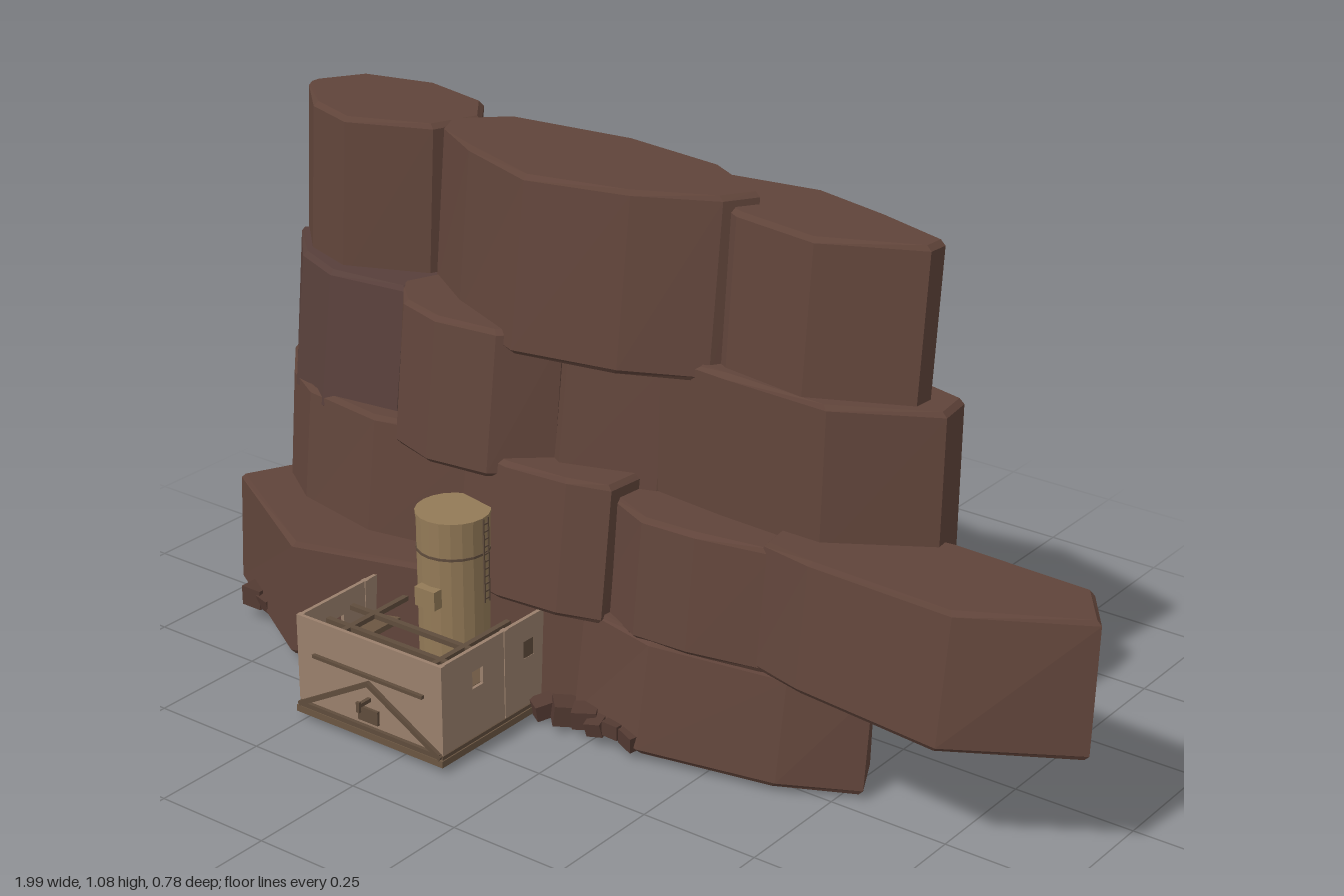
import * as THREE from 'three';

const mat = (color, extra = {}) => new THREE.MeshStandardMaterial({ color, flatShading: true, ...extra });
const ROCK = mat(0x60443a), DUSKY = mat(0x573f3a), RUBBLE = mat(0x533a32);
const WALL = mat(0x9a806c, { side: THREE.DoubleSide });
const WOOD = mat(0x5f4c3c), FLOOR = mat(0x6b5642), SILO = mat(0x937a57), BRASS = mat(0x8a6a3a);

// Bevelled rock prism from a top outline of [x, z]; the foot leans forward and widens
function rock(name, outline, y0, y1, { lean = 0.03, widen = 1.06, tilt = 0, foot = 0, material = ROCK } = {}) {
  let pts = outline.map(p => new THREE.Vector2(p[0], p[1]));
  if (THREE.ShapeUtils.area(pts) > 0) pts = pts.reverse();
  const n = pts.length, bevel = 0.01;
  const c = pts.reduce((s, p) => s.add(p), new THREE.Vector2()).divideScalar(n);
  const pos = [], idx = [];
  const ring = (y, inset, shift, slope, scale) => {
    for (const p of pts) {
      const d = p.clone().sub(c), k = 1 - inset / d.length();
      const x = c.x + d.x * k;
      pos.push(x, y + slope * (x - c.x), c.y + d.y * k * scale + shift);
    }
  };
  ring(y0, bevel, lean, foot, widen);
  ring(y0 + bevel, 0, lean, foot, widen);
  ring(y1 - bevel, 0, 0, tilt, 1);
  ring(y1, bevel, 0, tilt, 1);
  for (let r = 0; r < 3; r++) for (let i = 0; i < n; i++) {
    const a = r * n + i, b = r * n + (i + 1) % n;
    idx.push(a, b, b + n, a, b + n, a + n);
  }
  pos.push(c.x, y0, c.y + lean, c.x, y1, c.y);
  for (let i = 0; i < n; i++) {
    const j = (i + 1) % n;
    idx.push(4 * n, j, i, 4 * n + 1, 3 * n + i, 3 * n + j);
  }
  const g = new THREE.BufferGeometry();
  g.setAttribute('position', new THREE.Float32BufferAttribute(pos, 3));
  g.setIndex(idx);
  const flat = g.toNonIndexed();
  flat.computeVertexNormals();
  const m = new THREE.Mesh(flat, material);
  m.name = name;
  return m;
}

function add(parent, name, geometry, x, y, z, material) {
  const m = new THREE.Mesh(geometry, material);
  m.position.set(x, y, z);
  m.name = name;
  parent.add(m);
  return m;
}
const box = (parent, name, w, h, d, x, y, z, material = WOOD) =>
  add(parent, name, new THREE.BoxGeometry(w, h, d), x, y, z, material);
const cyl = (parent, name, r, h, x, y, z, material) =>
  add(parent, name, new THREE.CylinderGeometry(r, r, h, 20), x, y, z, material);

function buildCliff() {
  const g = new THREE.Group();
  g.name = 'cliff';
  g.add(
    // bottom course; the hut passes out between the two slabs at the back
    rock('bottomLeftSlab', [[-.98, .02], [-.93, -.09], [-.8, -.16], [-.55, -.2], [-.33, -.19], [-.17, -.07], [-.06, .03], [-.38, .09], [-.68, .19]], .022, .268, { lean: .01, widen: 1.03, tilt: -.03, foot: -.035 }),
    rock('bottomRightSlab', [[-.11, -.08], [-.06, .03], [.12, .065], [.4, .01], [.545, -.06], [.5, -.14], [.3, -.19], [0, -.18]], .022, .247, { lean: .02, widen: 1.15, tilt: -.03, foot: -.02 }),
    // second course
    rock('secondLeftBlock', [[-.99, -.17], [-.9, -.21], [-.62, -.23], [-.39, -.18], [-.36, -.03], [-.6, .02], [-.8, -.01], [-.9, -.07]], .235, .51, { lean: .02, widen: 1.1 }),
    rock('secondMiddleBlock', [[-.42, -.08], [-.36, -.17], [-.15, -.17], [0, -.1], [-.01, .01], [-.1, .035], [-.24, .045], [-.36, .02]], .235, .515),
    rock('secondCentreBlock', [[-.06, -.03], [-.1, -.15], [.02, -.19], [.28, -.2], [.44, -.15], [.36, .0], [.2, .03], [.08, .035]], .24, .485, { lean: .02 }),
    rock('secondRightBlock', [[.32, -.1], [.4, -.18], [.63, -.2], [.93, -.17], [1, -.07], [.77, .05], [.45, .025], [.335, .0]], .242, .503, { lean: .01, widen: 1.2, tilt: .02, foot: -.01 }),
    // third course
    rock('thirdLeftBlock', [[-.985, -.2], [-.92, -.3], [-.77, -.33], [-.6, -.3], [-.52, -.2], [-.58, -.06], [-.76, -.04], [-.88, -.09]], .475, .765, { material: DUSKY }),
    rock('thirdMiddleBlock', [[-.6, -.08], [-.53, -.25], [-.25, -.25], [-.18, -.06], [-.28, .02], [-.42, .035], [-.53, 0]], .475, .77),
    rock('thirdCentreBlock', [[-.28, -.12], [-.22, -.22], [.02, -.23], [.1, -.17], [.03, -.11], [-.16, -.05]], .475, .745),
    rock('thirdRightBlock', [[.03, -.09], [-.03, -.17], [-.2, -.23], [-.1, -.29], [.28, -.33], [.6, -.245], [.61, -.17], [.42, -.065], [.19, -.075]], .462, .767, { lean: .006, widen: 1.04 }),
    // top course
    rock('topLeftBlock', [[-.985, -.26], [-.93, -.35], [-.77, -.39], [-.61, -.35], [-.55, -.27], [-.59, -.17], [-.76, -.1], [-.88, -.14], [-.985, -.24]], .725, 1.07, { lean: .02, widen: 1.02 }),
    rock('topCentreBlock', [[-.59, -.22], [-.5, -.3], [-.21, -.325], [.03, -.28], [.18, -.19], [.14, -.13], [-.02, -.06], [-.24, -.02], [-.44, -.1], [-.57, -.18]], .732, 1.08, { lean: .035, tilt: .02 }),
    rock('topRightBlock', [[-.06, -.28], [.22, -.33], [.4, -.285], [.553, -.232], [.55, -.19], [.36, -.1], [.17, -.13], [.05, -.2]], .725, 1.065, { lean: .03, widen: 1 }),
  );
  // loose blocky stones at the foot: x, y, z, size
  const stones = [[-.88, .055, .085, .05], [-.84, .055, .1, .035], [-.125, .035, .08, .04], [-.075, .04, .075, .05], [-.02, .05, .08, .045], [.015, .045, .09, .035], [.055, .05, .085, .035], [.1, .045, .085, .04]];
  stones.forEach(([x, y, z, s], i) => {
    const m = box(g, 'looseStone', s, s * .85, s * 1.1, x, y, z, RUBBLE);
    m.rotation.set(.1 * (i % 3), i * 1.3, .12 * (i % 2));
  });
  return g;
}

// Side wall in the zy plane with square window openings
function sideWall(x) {
  const corners = (z0, y0, z1, y1) => [[-z1, y0], [-z0, y0], [-z0, y1], [-z1, y1]].map(p => new THREE.Vector2(...p));
  const s = new THREE.Shape(corners(-.17, .03, .357, .23));
  for (const z of [.25, .095]) s.holes.push(new THREE.Path(corners(z - .016, .145, z + .016, .182)));
  const m = new THREE.Mesh(new THREE.ExtrudeGeometry(s, { depth: .008, bevelEnabled: false }), WALL);
  m.rotation.y = Math.PI / 2;
  m.position.x = x - .004;
  m.name = 'sideWall';
  return m;
}

function buildHut() {
  const g = new THREE.Group(), cx = -.33;
  g.name = 'hut';
  box(g, 'floor', .375, .014, .54, cx, .026, .095, FLOOR);
  box(g, 'frontWall', .36, .2, .008, cx, .13, .354, WALL);
  for (const s of [-1, 1]) {
    // rear wall panels either side of the opening
    g.add(sideWall(cx + s * .178));
    box(g, 'rearPanel', .06, .2, .008, cx + s * .148, .13, -.166, WALL);
    box(g, 'sideRail', .01, .012, .53, cx + s * .18, .035, .095);
    for (const z of [.352, .165, -.168]) box(g, 'wallPost', .012, .2, .012, cx + s * .178, .13, z, WALL);
    // front gable brace
    const brace = box(g, 'gableBrace', .21, .01, .008, cx + s * .09, .088, .362);
    brace.rotation.z = -s * .51;
    box(g, 'innerLedge', .05, .012, .36, cx + s * .15, .14, .17, FLOOR);
    box(g, 'innerRail', .012, .01, .27, cx + s * .115, .19, .21);
    box(g, 'shutter', .006, .037, .032, cx + s * .178, .163, .095);
  }
  box(g, 'rearLintel', .36, .02, .008, cx, .22, -.166, WALL);
  box(g, 'frontBeam', .28, .007, .008, cx, .155, .362);
  box(g, 'frontSill', .36, .01, .01, cx, .04, .361);
  for (const z of [.33, .28, .21]) box(g, 'crossBeam', .35, .01, .012, cx, .19, z);
  // bracket and hanging plate on the front
  box(g, 'bracket', .008, .008, .035, cx, .103, .375);
  box(g, 'bracketTip', .008, .022, .006, cx, .1, .39);
  box(g, 'frontPlate', .05, .03, .006, cx, .07, .362);
  // shallow domed feet under the floor
  for (const [x, z, r] of [[-.45, .25, .037], [-.33, .09, .018], [-.33, .325, .013], [-.22, .25, .02], [-.45, .17, .014]])
    add(g, 'foot', new THREE.SphereGeometry(r, 12, 8), x, .02, z, BRASS).scale.y = .013 / r;
  return g;
}

function buildSilo() {
  const g = new THREE.Group(), x = -.33, z = .1;
  g.name = 'silo';
  cyl(g, 'siloBody', .073, .375, x, .2245, z, SILO);
  cyl(g, 'siloBand', .075, .005, x, .335, z, WOOD);
  cyl(g, 'siloRim', .075, .006, x, .409, z, SILO);
  // ladder on the side
  for (const dz of [-.007, .007]) box(g, 'ladderRail', .003, .18, .003, x + .078, .322, .094 + dz);
  for (let i = 0; i < 11; i++) box(g, 'ladderRung', .003, .003, .014, x + .078, .24 + i * .016, .094);
  // small housing against the front of the tank
  box(g, 'siloHousing', .05, .04, .025, x, .252, .178, SILO);
  return g;
}

export function createModel() {
  const root = new THREE.Group();
  root.name = 'cliffOutpost';
  root.add(buildCliff(), buildHut(), buildSilo());
  return root;
}
